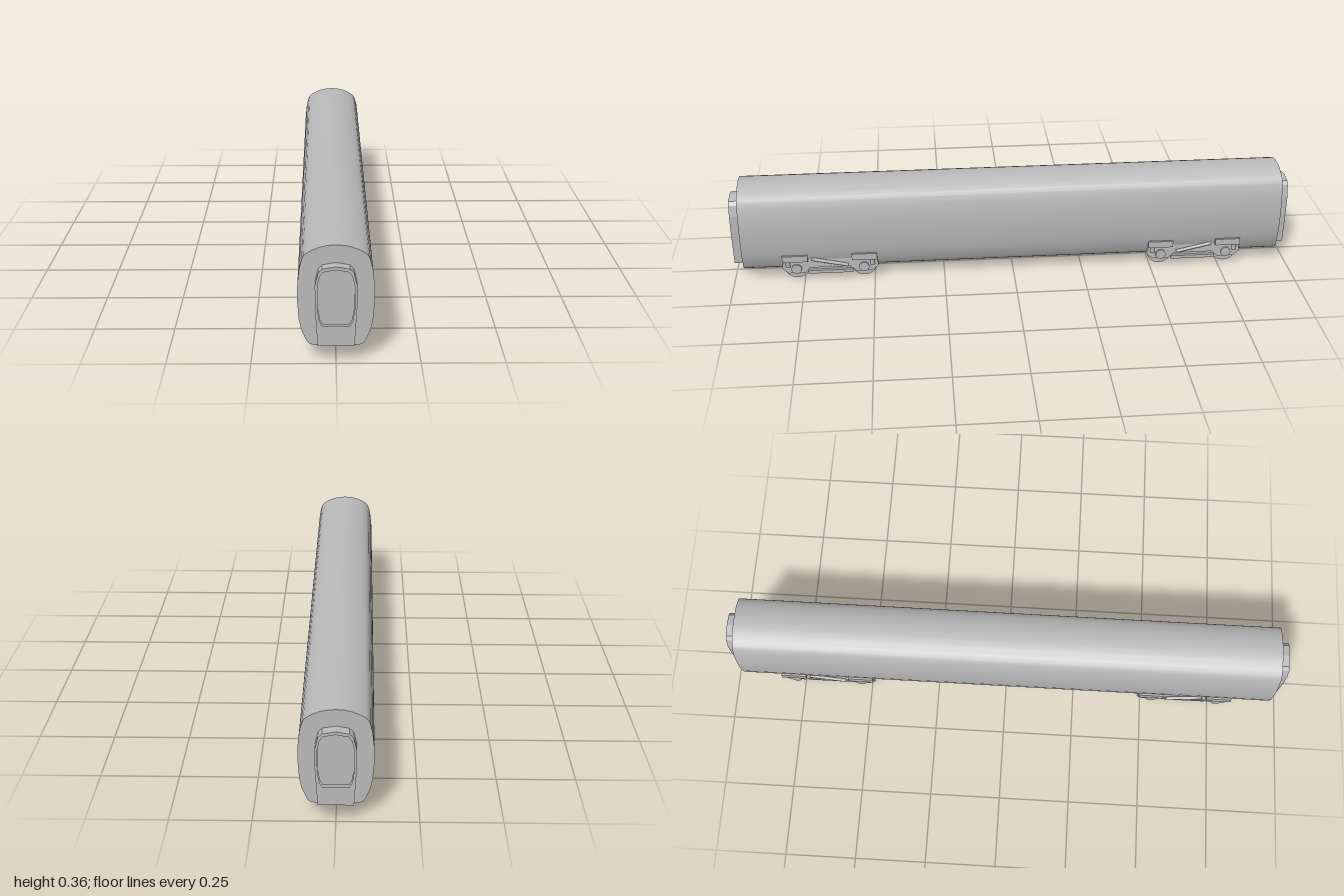
import * as THREE from 'three';
import { toCreasedNormals } from 'three/addons/utils/BufferGeometryUtils.js';

const grey = new THREE.MeshStandardMaterial({ color: 0xbababa });
grey.name = 'light grey';

function add(parent, name, geometry, x = 0, y = 0, z = 0) {
  const mesh = new THREE.Mesh(geometry, grey);
  mesh.name = name;
  mesh.position.set(x, y, z);
  parent.add(mesh);
  return mesh;
}

// Half outline (top centre to bottom) mirrored into a closed loop
function mirrored(half) {
  const right = half.map(([x, y]) => new THREE.Vector2(x, y));
  const left = right.filter((p) => p.x > 0).reverse().map((p) => new THREE.Vector2(-p.x, p.y));
  return [...right, ...left];
}

const extrude = (shape, depth) =>
  new THREE.ExtrudeGeometry(shape, { depth, bevelEnabled: false, curveSegments: 16 });

// Plate drawn in (z, y), with its thickness along x, centred on x = 0
function sidePlate(points, thickness) {
  const shape = new THREE.Shape(points.map(([z, y]) => new THREE.Vector2(-z, y)));
  return extrude(shape, thickness).translate(0, 0, -thickness / 2).rotateY(Math.PI / 2);
}

const across = (radius, length, sides = 28) =>
  new THREE.CylinderGeometry(radius, radius, length, sides).rotateZ(Math.PI / 2);

// Gangway at the front end: portal rim around a shallow recessed door
function gangway() {
  const group = new THREE.Group();
  const outer = [[0, 0.304], [0.04, 0.297], [0.052, 0.285], [0.0615, 0.245], [0.0615, 0.18], [0.054, 0.057]];
  const inner = [[0, 0.294], [0.038, 0.287], [0.047, 0.274], [0.054, 0.245], [0.054, 0.17], [0.048, 0.134], [0.039, 0.118]];
  const rim = new THREE.Shape(mirrored(outer));
  rim.holes.push(new THREE.Path(mirrored(inner)));
  add(group, 'gangwayRim', extrude(rim, 0.04), 0, 0, 0.96);
  add(group, 'gangwayDoor', extrude(new THREE.Shape(mirrored(inner)), 0.026), 0, 0, 0.96);
  return group;
}

function bogie() {
  const group = new THREE.Group();

  // Low centre box between the wheelsets
  add(group, 'centreBox', sidePlate([
    [-0.075, 0.024], [0.075, 0.024], [0.085, 0.045], [0.085, 0.06], [-0.085, 0.06], [-0.085, 0.045],
  ], 0.17));

  for (const end of [-1, 1]) {
    const z = end * 0.12;
    add(group, 'axle', across(0.012, 0.19, 16), 0, 0.045, z);
    for (const side of [-1, 1]) {
      add(group, 'wheel', across(0.045, 0.01, 36), side * 0.07, 0.045, z);
      add(group, 'axleBox', across(0.018, 0.014, 20), side * 0.097, 0.048, z);
      // Spring with its seat, and the bracket above it
      add(group, 'spring', new THREE.CylinderGeometry(0.008, 0.008, 0.035, 16), side * 0.097, 0.073, end * 0.15);
      add(group, 'bracket', new THREE.BoxGeometry(0.02, 0.024, 0.09), side * 0.102, 0.093, end * 0.123);
    }
  }

  // Dog-bone side frame
  const frame = [
    [-0.172, 0.052], [-0.15, 0.03], [-0.09, 0.03], [-0.07, 0.05], [0.07, 0.05], [0.09, 0.03],
    [0.15, 0.03], [0.172, 0.052], [0.165, 0.08], [0.1, 0.08], [0.08, 0.088],
    [-0.08, 0.088], [-0.1, 0.08], [-0.165, 0.08],
  ];
  for (const side of [-1, 1]) {
    add(group, 'sideFrame', sidePlate(frame, 0.012), side * 0.092);
    add(group, 'lowerRail', new THREE.BoxGeometry(0.012, 0.012, 0.16), side * 0.09, 0.03);
    const damper = add(group, 'damper', new THREE.CylinderGeometry(0.006, 0.006, 0.13, 12), side * 0.102, 0.072, 0);
    damper.rotation.x = 1.35;
  }
  return group;
}

export function createModel() {
  const model = new THREE.Group();
  model.name = 'railwayCoach';

  // Long body shell with a smooth rounded section
  const section = mirrored([
    [0, 0.358], [0.025, 0.3565], [0.048, 0.351], [0.072, 0.341], [0.088, 0.331], [0.095, 0.323],
    [0.1, 0.312], [0.107, 0.285], [0.112, 0.24], [0.1135, 0.21], [0.113, 0.18], [0.109, 0.125],
    [0.102, 0.093], [0.09, 0.064], [0.084, 0.053], [0.077, 0.047], [0.0625, 0.043],
  ]);
  const shell = extrude(new THREE.Shape(section), 1.93).translate(0, 0, -0.965);
  add(model, 'bodyShell', toCreasedNormals(shell, 0.8));

  // Each end carries a gangway and a bogie
  for (const end of [1, -1]) {
    const portal = gangway();
    portal.name = end > 0 ? 'frontGangway' : 'rearGangway';
    portal.rotation.y = end > 0 ? 0 : Math.PI;
    const truck = bogie();
    truck.name = end > 0 ? 'frontBogie' : 'rearBogie';
    truck.position.z = end * 0.657;
    truck.rotation.y = end > 0 ? 0 : Math.PI;
    model.add(portal, truck);
  }
  return model;
}
